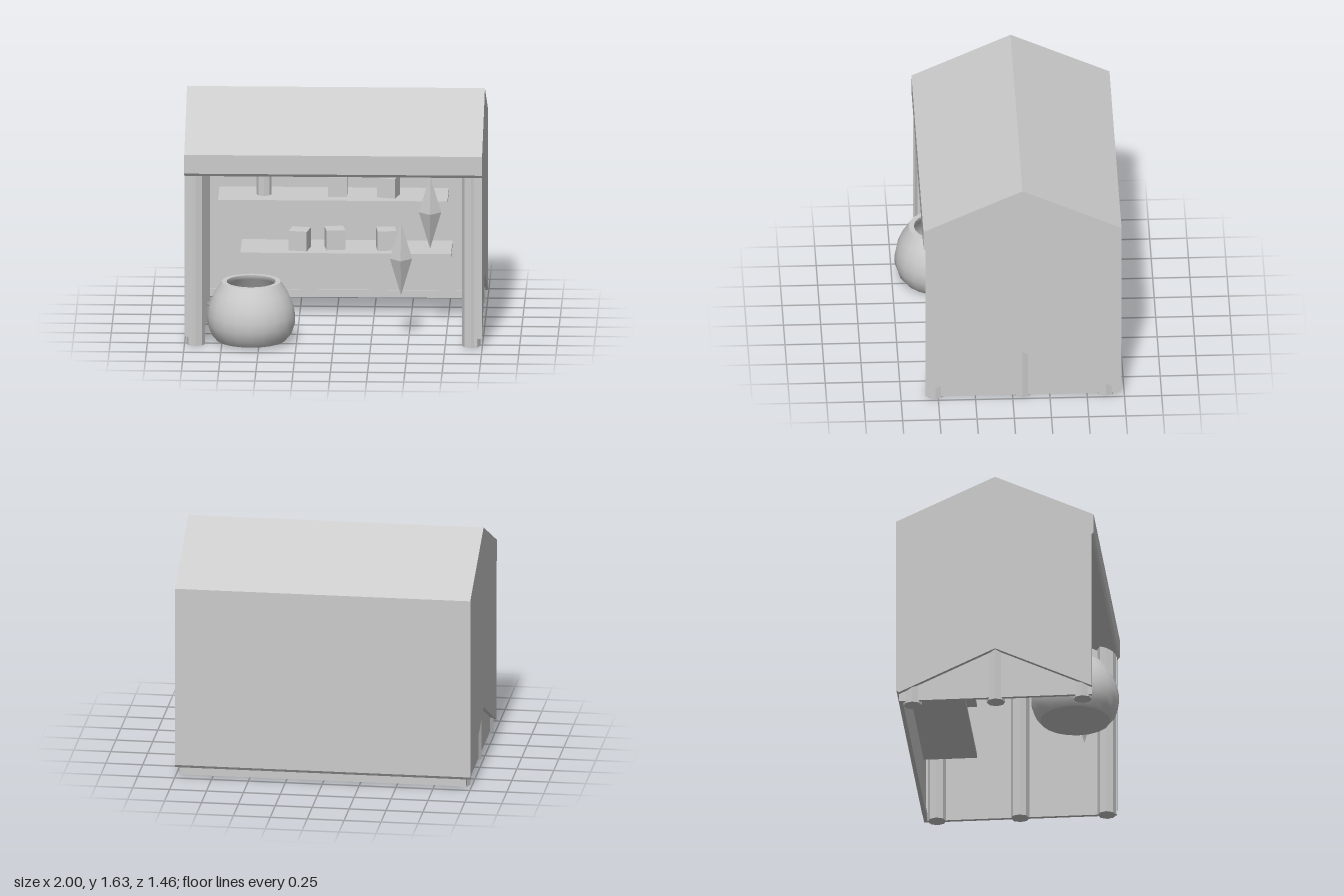
import * as THREE from 'three';

const material = new THREE.MeshStandardMaterial({ color: 0xcccccc, flatShading: true });
const smooth = new THREE.MeshStandardMaterial({ color: 0xcccccc, side: THREE.DoubleSide });

export function createModel() {
  const group = new THREE.Group();

  const add = (name, geometry, x = 0, y = 0, z = 0, turn = 0, mat = material) => {
    const mesh = new THREE.Mesh(geometry, mat);
    mesh.name = name;
    mesh.position.set(x, y, z);
    mesh.rotation.y = turn;
    group.add(mesh);
    return mesh;
  };

  // Box given by its minimum and maximum corners
  const block = (name, x0, x1, y0, y1, z0, z1) =>
    add(name, new THREE.BoxGeometry(x1 - x0, y1 - y0, z1 - z0),
      (x0 + x1) / 2, (y0 + y1) / 2, (z0 + z1) / 2);

  // Outline in (z, y), extruded along x between x0 and x1
  const slab = (name, outline, x0, x1) => {
    const shape = new THREE.Shape(outline.map(([z, y]) => new THREE.Vector2(-z, y)));
    const geometry = new THREE.ExtrudeGeometry(shape, { depth: x1 - x0, bevelEnabled: false });
    geometry.rotateY(Math.PI / 2);
    return add(name, geometry, x0);
  };

  // Roof with a gabled underside, and a bevelled front fascia
  slab('roof', [[0.6, 1.33], [-0.065, 1.635], [-0.73, 1.33], [-0.73, 1.18],
    [-0.065, 1.48], [0.585, 1.18], [0.6, 1.2]], -0.97, 0.97);

  // Back wall: outer cladding and the inner board below it
  slab('backWall', [[-0.73, 1.18], [-0.73, 0.085], [-0.715, 0.065], [-0.7, 0.065], [-0.7, 1.194]],
    -0.97, 0.97);
  block('backBoard', -0.97, 0.97, 0.015, 0.065, -0.715, -0.69);

  // Gable ends, inner side boards and posts on both sides
  const gable = [[0.6, 1.33], [-0.065, 1.635], [-0.73, 1.33], [-0.73, 0.085], [-0.715, 0.065],
    [-0.065, 0.365], [0.585, 0.065], [0.585, 1.18], [0.6, 1.2]];
  for (const side of [-1, 1]) {
    const span = (a, b) => (side > 0 ? [a, b] : [-b, -a]);
    slab('gableEnd', gable, ...span(0.97, 1));
    block('sideBoard', ...span(0.945, 0.97), 0.015, 1.18, -0.715, 0.585);
    for (const [z, height] of [[0.52, 1.23], [-0.065, 1.5], [-0.625, 1.23]]) {
      add('post', new THREE.CylinderGeometry(0.062, 0.062, height, 8), side * 0.924, height / 2, z);
    }
  }

  // Shelves on the back wall
  block('upperShelf', -0.8, 0.74, 0.75, 0.775, -0.7, -0.34);
  block('lowerShelf', -0.65, 0.765, 0.385, 0.41, -0.7, -0.34);

  // Goods on the shelves
  const boxes = [
    [-0.255, 0.41, -0.46, -0.2], [-0.02, 0.41, -0.49, 0.15], [0.325, 0.41, -0.48, 0.1],
    [0, 0.775, -0.5, 0], [0.34, 0.775, -0.48, -0.25],
  ];
  for (const [x, y, z, turn] of boxes) {
    add('shelfBox', new THREE.BoxGeometry(0.126, 0.135, 0.126), x, y + 0.0675, z, turn);
  }
  add('shelfJar', new THREE.CylinderGeometry(0.05, 0.05, 0.155, 8), -0.495, 0.8525, -0.5);

  // Hanging diamond ornaments
  for (const [x, y, z] of [[0.45, 0.572, 0.41], [0.64, 0.848, 0.23]]) {
    const geometry = new THREE.OctahedronGeometry(1);
    geometry.scale(0.075, 0.253, 0.075);
    add('hangingDiamond', geometry, x, y, z);
  }

  // Round pot: body, rim and hollow, kept as separate strips for sharp edges
  const strips = {
    potBase: [[0, 0.015], [0.235, 0.015]],
    potBody: [[0.235, 0.015], [0.272, 0.06], [0.293, 0.125], [0.295, 0.19],
      [0.282, 0.26], [0.25, 0.335], [0.2, 0.415]],
    potRim: [[0.2, 0.415], [0.165, 0.415]],
    potHollow: [[0.165, 0.415], [0.165, 0.385], [0.225, 0.32], [0.255, 0.24],
      [0.265, 0.17], [0.245, 0.08], [0.2, 0.04], [0, 0.04]],
  };
  for (const [name, points] of Object.entries(strips)) {
    const profile = points.map(([r, y]) => new THREE.Vector2(r, y));
    add(name, new THREE.LatheGeometry(profile, 20), -0.555, 0, 0.437, 0, smooth);
  }

  return group;
}
